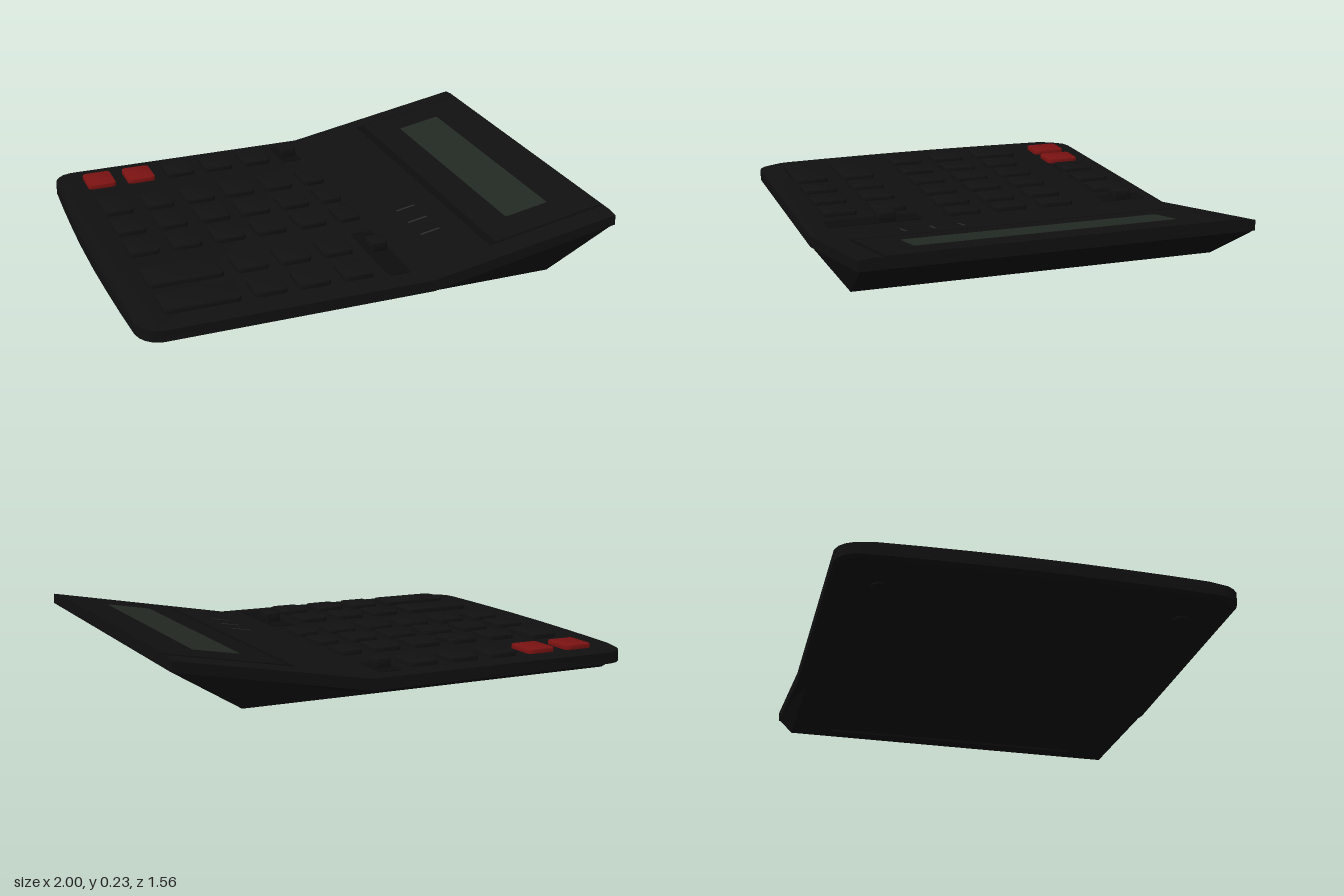
import * as THREE from 'three';
import { toCreasedNormals } from 'three/addons/utils/BufferGeometryUtils.js';

const mat = (color) => new THREE.MeshStandardMaterial({ color });
const bodyMat = mat(0x101010), keyMat = mat(0x111111), baseMat = mat(0x0c0c0c);
const redMat = mat(0x7a1212), screenMat = mat(0x222822), markMat = mat(0x2a2a2a);

// Height gained along the raised display end
const BEND = 0.2, TOP = 0.083;
const ramp = (x, rise) => Math.max(0, (x - BEND) / (1 - BEND)) * rise;

// Skin a row of matching convex cross-sections and cap both ends
function loft(sections) {
  const n = sections[0].length, last = sections.length - 1;
  const pos = sections.flat(2), idx = [];
  for (let j = 0; j < last; j++) {
    for (let i = 0; i < n; i++) {
      const a = j * n + i, b = j * n + (i + 1) % n;
      idx.push(a, b, b + n, a, b + n, a + n);
    }
  }
  for (let i = 1; i < n - 1; i++) {
    idx.push(0, i + 1, i, last * n, last * n + i, last * n + i + 1);
  }
  const g = new THREE.BufferGeometry();
  g.setAttribute('position', new THREE.Float32BufferAttribute(pos, 3));
  g.setIndex(idx);
  return toCreasedNormals(g, 0.4);
}

// Rounded slab spanning x0..x1, z0..z1, rising from y by h
function slab(name, x0, x1, z0, z1, y, h, r, bevel, material) {
  const w = (x1 - x0) / 2 - bevel, d = (z1 - z0) / 2 - bevel;
  const s = new THREE.Shape();
  s.moveTo(w, -d + r);
  s.lineTo(w, d - r);
  s.absarc(w - r, d - r, r, 0, Math.PI / 2);
  s.absarc(-w + r, d - r, r, Math.PI / 2, Math.PI);
  s.absarc(-w + r, -d + r, r, Math.PI, Math.PI * 1.5);
  s.absarc(w - r, -d + r, r, Math.PI * 1.5, Math.PI * 2);
  const g = new THREE.ExtrudeGeometry(s, {
    depth: h - bevel * 2, bevelEnabled: bevel > 0, bevelThickness: bevel,
    bevelSize: bevel, bevelSegments: 2, curveSegments: 4,
  });
  g.rotateX(-Math.PI / 2).translate((x0 + x1) / 2, y + bevel, (z0 + z1) / 2);
  const m = new THREE.Mesh(toCreasedNormals(g, 0.5), material);
  m.name = name;
  return m;
}

export function createModel() {
  const model = new THREE.Group();
  model.name = 'calculator';
  const add = (name, geometry, material) => {
    const m = new THREE.Mesh(geometry, material);
    m.name = name;
    model.add(m);
    return m;
  };

  // Upper shell: bowed near end, rounded corners, bent up at the display
  const plan = [[-1, 0.12], [-0.996, 0.3], [-0.989, 0.5], [-0.98, 0.68], [-0.972, 0.715],
    [-0.955, 0.745], [-0.93, 0.767], [-0.895, 0.778], [BEND, 0.778], [1, 0.778]];
  add('upperShell', loft(plan.map(([x, w]) => {
    const b = 0.03 + ramp(x, 0.15), t = TOP + ramp(x, 0.145), e = t - 0.006, v = w * 0.94;
    return [[x, b, -w], [x, e, -w], [x, t, -v], [x, t, v], [x, e, w], [x, b, w]];
  })), bodyMat);

  // Underside tray: sloping walls, flat floor, ramp up to the far edge
  const tray = [[-0.965, 0.66, -0.93, 0.64], [-0.945, 0.73, -0.915, 0.695], [-0.89, 0.77, -0.88, 0.735],
    [BEND, 0.775, BEND, 0.74], [0.72, 0.775, 0.72, 0.74], [0.998, 0.775, 0.998, 0.77]];
  add('undersideTray', loft(tray.map(([xt, wt, xb, wb]) => {
    const t = 0.034 + ramp(xt, 0.15), b = xb > 0.9 ? 0.179 : 0.01;
    return [[xb, b, -wb], [xt, t, -wt], [xt, t, wt], [xb, b, wb]];
  })), baseMat);

  // Feet: two round pads and one long strip
  for (const side of [-1, 1]) {
    add('roundFoot', new THREE.CylinderGeometry(0.032, 0.032, 0.012, 20), baseMat)
      .position.set(-0.79, 0.008, side * 0.59);
  }
  add('stripFoot', new THREE.BoxGeometry(0.015, 0.014, 1.12), baseMat).position.set(0.64, 0.007, 0);

  // Keyboard: columns along x, rows along z
  const keys = new THREE.Group();
  keys.name = 'keys';
  model.add(keys);
  const cols = [[-0.86, -0.735], [-0.68, -0.555], [-0.5, -0.37], [-0.32, -0.19], [-0.135, -0.01], [0.045, 0.14]];
  const rows = [[-0.69, -0.545], [-0.385, -0.24], [-0.175, -0.03], [0.03, 0.175], [0.315, 0.46], [0.53, 0.675]];
  const key = (x, z, material = keyMat, name = 'key') =>
    keys.add(slab(name, x[0], x[1], z[0], z[1], 0.07, 0.033, 0.012, 0.006, material));
  cols.forEach((x, c) => rows.forEach((z, r) => {
    if (c < 2 && r === 0) key(x, z, redMat, 'redKey');
    else if (c < 2 && r > 3) { if (c === 0) key([x[0], cols[1][1]], z, keyMat, 'wideKey'); }
    else if (c === 5 && (r === 0 || r > 3)) return;
    else if (c === 0 && r === 1) key(x, [-0.44, z[1]], keyMat, 'tallKey');
    else key(x, z);
  }));

  // Slide switches in their tracks
  for (const [z0, z1, knob] of [[-0.72, -0.53, -0.62], [0.29, 0.69, 0.44]]) {
    model.add(slab('switchTrack', 0.045, 0.14, z0, z1, 0.08, 0.005, 0.01, 0, baseMat));
    model.add(slab('switchKnob', 0.06, 0.13, knob - 0.04, knob + 0.04, 0.08, 0.043, 0.008, 0.004, keyMat));
  }

  // Display panel, laid on the slope
  const display = new THREE.Group();
  display.name = 'display';
  display.position.set(BEND, TOP, 0);
  display.rotation.z = Math.atan2(0.145, 0.8);
  model.add(display);
  const k = 1 / Math.cos(display.rotation.z);
  const panel = (name, x0, x1, z0, z1, h, r, material) => display.add(
    slab(name, (x0 - BEND) * k, (x1 - BEND) * k, z0, z1, -0.004, 0.004 + h, r, 0, material));
  panel('bezelEdge', 0.485, 0.998, -0.69, 0.685, 0.0015, 0.004, baseMat);
  panel('bezel', 0.515, 0.996, -0.68, 0.675, 0.003, 0.004, bodyMat);
  panel('screen', 0.64, 0.83, -0.53, 0.525, 0.0045, 0.01, screenMat);
  for (const z of [0.185, 0.307, 0.43]) {
    panel('indicatorMark', 0.3, 0.385, z - 0.005, z + 0.005, 0.001, 0.002, markMat);
  }
  return model;
}
